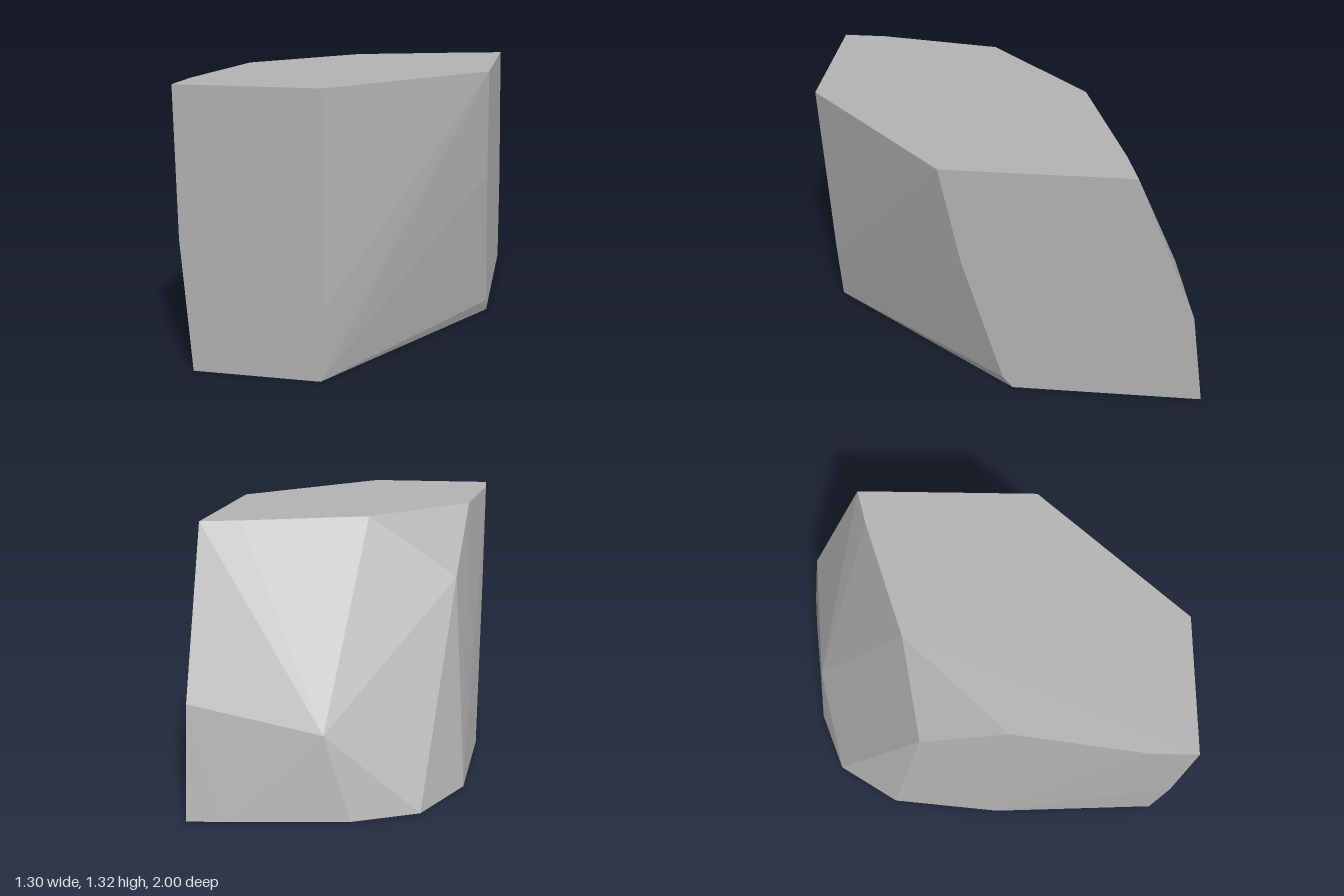
import * as THREE from 'three';
import { ConvexGeometry } from 'three/addons/geometries/ConvexGeometry.js';

// Corner points [x, y, z] of the faceted stone, from the ground upwards
const H = 1.32;
const base = [
  [-0.61, 0, 1], [-0.01, 0, 1], [0.65, 0, -0.04], [0.65, 0, -1], [0.47, 0, -0.98],
  [-0.1, 0, -0.9], [-0.41, 0, -0.77], [-0.6, 0, -0.45], [-0.65, 0, 0.13],
];
const sides = [
  [-0.65, 0.63, 1], [0.01, 0.34, 1], [0.65, 0.07, 0.01], [0.65, 0.8, 0.2],
  [0.65, 0.54, -0.91], [0.03, 0.4, -0.86], [-0.53, 1.02, -0.26],
];
const top = [
  [-0.65, H, 1], [0.01, H, 1], [0.65, H, 0.29], [0.65, H, -0.59],
  [0.47, H, -0.54], [-0.11, H, -0.34], [-0.57, H, 0.16], [-0.65, H, 0.78],
];

export function createModel() {
  const group = new THREE.Group();
  group.name = 'rock';
  const stoneGrey = new THREE.MeshStandardMaterial({ color: 0xb4b4b4 });
  stoneGrey.name = 'stoneGrey';
  stoneGrey.flatShading = true;

  // Single convex block with flat facets
  const points = [...base, ...sides, ...top].map((p) => new THREE.Vector3(...p));
  const stone = new THREE.Mesh(new ConvexGeometry(points), stoneGrey);
  stone.name = 'stoneBlock';
  group.add(stone);
  return group;
}
